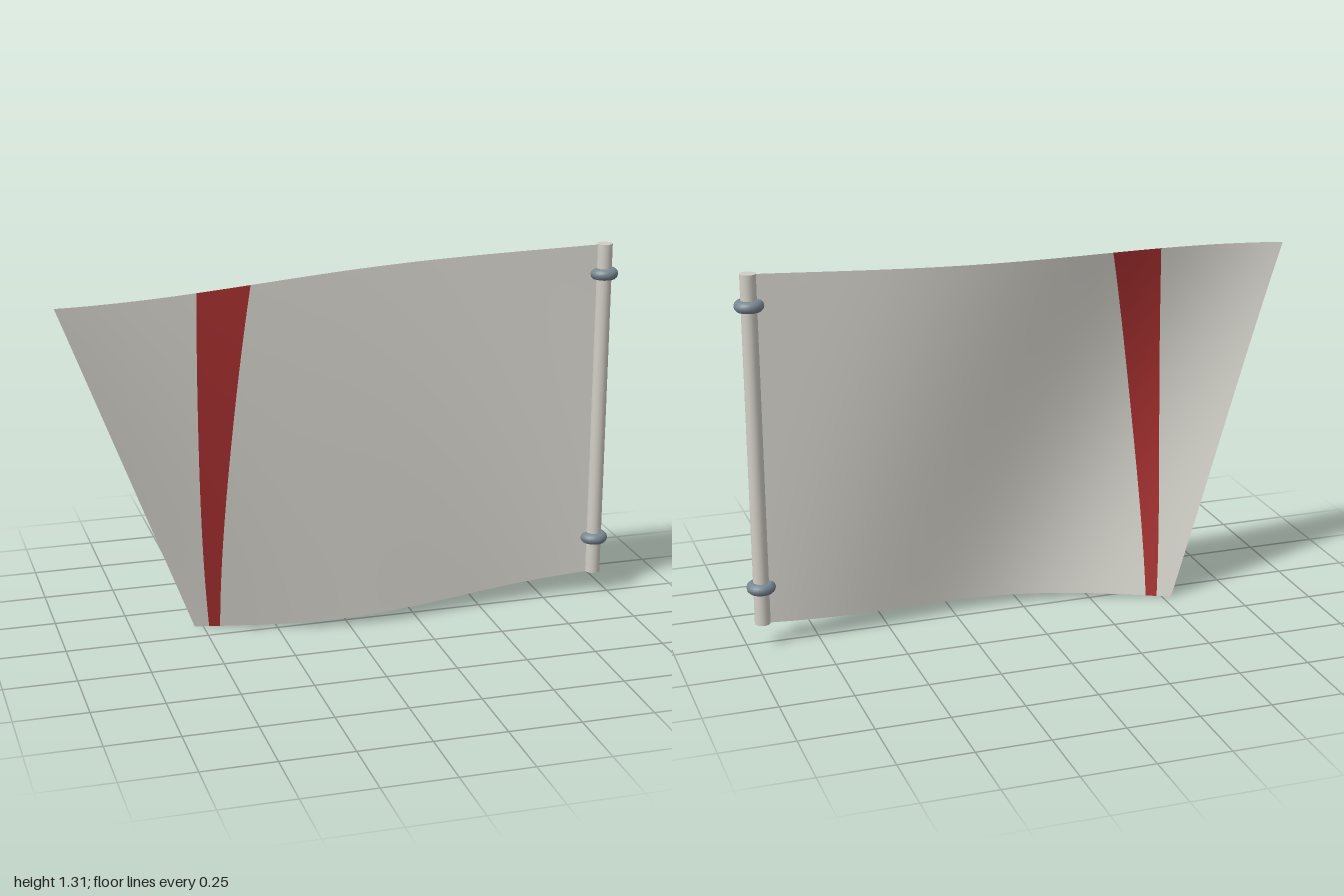
import * as THREE from 'three';

const POLE_X = 0.945, POLE_Z = -0.015;

// Point on the waving cloth: u runs from the pole to the free edge, v from bottom to top
function clothPoint(u, v) {
  const length = 1.475 + 0.47 * v;
  const low = 0.08 * (1 - u), high = 1.305 - 0.07 * u;
  const wave = 0.12 * u * Math.sin(4.49 * u - 0.69 - 1.55 * v);
  return [POLE_X - length * u, low + (high - low) * v, POLE_Z + wave];
}

// Panel of cloth between two borders, each given as u for a height v
function clothPanel(from, to, columns, rows = 48) {
  const positions = [], index = [];
  for (let j = 0; j <= rows; j++) {
    const v = j / rows;
    for (let i = 0; i <= columns; i++) {
      const u = from(v) + (to(v) - from(v)) * (i / columns);
      positions.push(...clothPoint(u, v));
      if (i < columns && j < rows) {
        const a = j * (columns + 1) + i, b = a + 1, c = a + columns + 1, d = c + 1;
        index.push(a, c, b, b, c, d);
      }
    }
  }
  const geometry = new THREE.BufferGeometry();
  geometry.setAttribute('position', new THREE.Float32BufferAttribute(positions, 3));
  geometry.setIndex(index);
  geometry.computeVertexNormals();
  return geometry;
}

export function createModel() {
  const material = (name, color, side = THREE.FrontSide) => {
    const m = new THREE.MeshStandardMaterial({ color, side });
    m.name = name;
    return m;
  };
  const clothGrey = material('cloth grey', 0xd8d6ce, THREE.DoubleSide);
  const stripeRed = material('stripe red', 0xa83030, THREE.DoubleSide);
  const poleGrey = material('pole grey', 0xd2cec6);
  const ringSteel = material('ring steel', 0x788791);

  const model = new THREE.Group();
  model.name = 'flag';
  const add = (name, geometry, mat) => {
    const mesh = new THREE.Mesh(geometry, mat);
    mesh.name = name;
    model.add(mesh);
    return mesh;
  };

  // Cloth with a tapering red stripe
  const stripeInner = v => 0.942 - 0.27 * v - 0.012 * v * v;
  const stripeOuter = v => 0.967 - 0.209 * v;
  add('mainCloth', clothPanel(() => 0, stripeInner, 48), clothGrey);
  add('stripe', clothPanel(stripeInner, stripeOuter, 6), stripeRed);
  add('endCloth', clothPanel(stripeOuter, () => 1, 14), clothGrey);

  // Pole
  add('pole', new THREE.CylinderGeometry(0.027, 0.027, 1.227, 20), poleGrey)
    .position.set(POLE_X, 0.6935, POLE_Z);

  // Rings round the pole
  for (const [name, y] of [['lowerRing', 0.213], ['upperRing', 1.2]]) {
    const ring = add(name, new THREE.TorusGeometry(0.03, 0.02, 12, 28), ringSteel);
    ring.rotation.x = Math.PI / 2;
    ring.position.set(POLE_X, y, POLE_Z);
  }
  return model;
}
